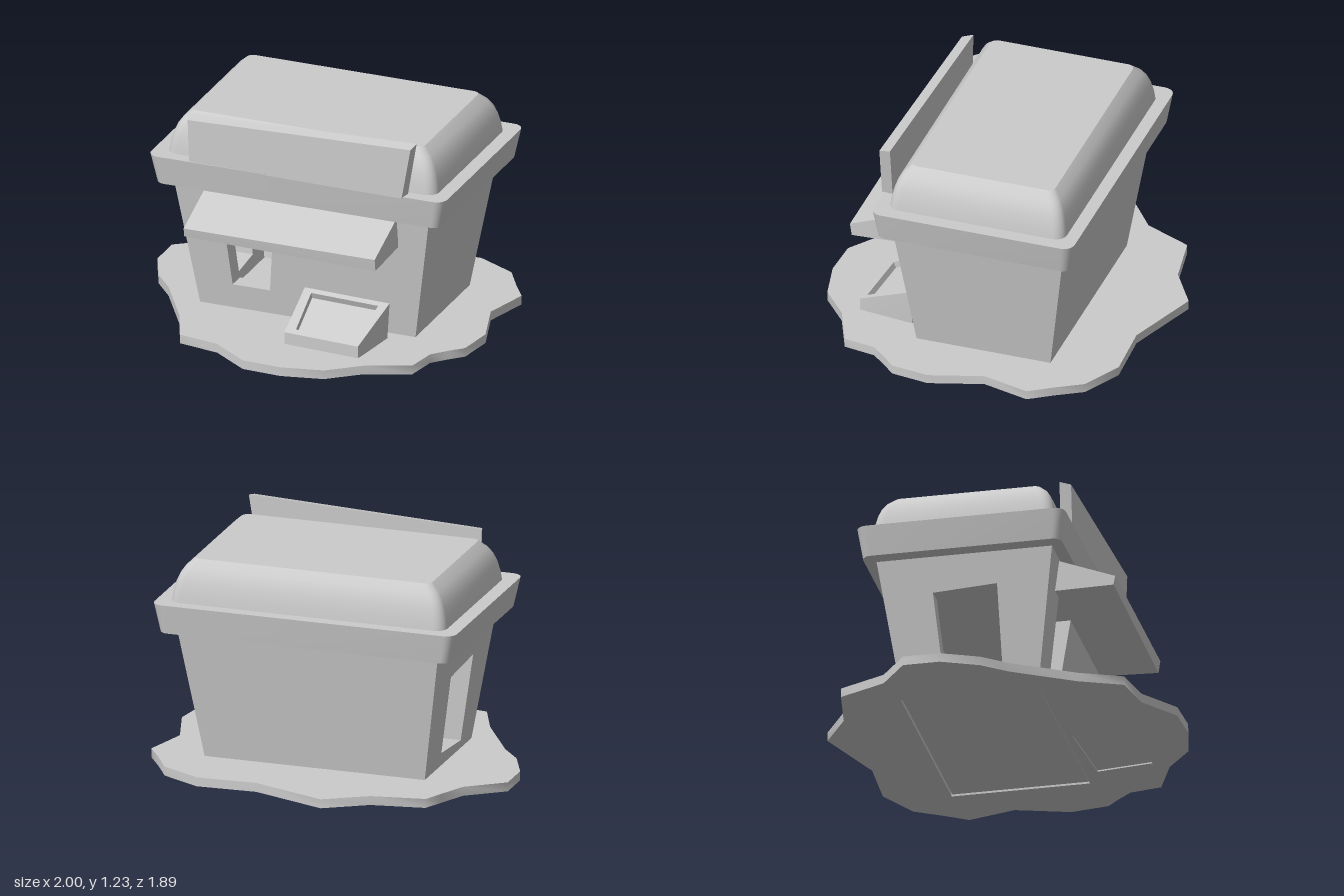
import * as THREE from 'three';
import { toCreasedNormals } from 'three/addons/utils/BufferGeometryUtils.js';

const material = new THREE.MeshStandardMaterial({ color: 0xcccccc });

// Closed solid through a list of loops, counter-clockwise about the direction of travel.
function loft(loops, crease = 0.5) {
  const pos = [];
  const tri = (a, b, c) => pos.push(...a, ...b, ...c);
  const n = loops[0].length;
  for (let k = 0; k < loops.length - 1; k++) {
    const a = loops[k], b = loops[k + 1];
    for (let i = 0; i < n; i++) {
      const j = (i + 1) % n;
      tri(a[i], a[j], b[j]);
      tri(a[i], b[j], b[i]);
    }
  }
  const first = loops[0], last = loops[loops.length - 1];
  for (let i = 1; i < n - 1; i++) {
    tri(first[0], first[i + 1], first[i]);
    tri(last[0], last[i], last[i + 1]);
  }
  const g = new THREE.BufferGeometry();
  g.setAttribute('position', new THREE.Float32BufferAttribute(pos, 3));
  return toCreasedNormals(g, crease);
}

// Horizontal rectangle loop, with optional rounded corners.
function rect(y, x0, x1, z0, z1, r = 0, steps = 0) {
  const pts = [];
  [[x1 - r, z1 - r], [x1 - r, z0 + r], [x0 + r, z0 + r], [x0 + r, z1 - r]].forEach(([cx, cz], k) => {
    for (let s = 0; s <= steps; s++) {
      const a = (k - 1 + (steps ? s / steps : 0)) * Math.PI / 2;
      pts.push([cx + r * Math.cos(a), y, cz - r * Math.sin(a)]);
    }
  });
  return pts;
}

// Leaning wall planes of the building, by height.
const left = (y) => -0.57 - 0.153 * (y - 0.05);
const right = (y) => 0.67 + 0.16 * (y - 0.05);
const front = (y) => 0.296 + 0.131 * (y - 0.05);
const back = (y) => -0.458 - 0.149 * (y - 0.05);
const Y0 = 0.008, Y1 = 0.8, DEPTH = 0.1;

const toPoints = (list) => list.map(([u, v]) => new THREE.Vector2(u, v));

// Thick upright wall with one opening, facing +z.
function wallWithOpening(outline, opening) {
  const shape = new THREE.Shape(toPoints(outline));
  shape.holes.push(new THREE.Path(toPoints(opening)));
  return new THREE.ExtrudeGeometry(shape, { depth: DEPTH, bevelEnabled: false }).translate(0, 0, -DEPTH);
}

// Tilt an upright wall by shifting each vertex according to its height.
function lean(g, axis, offset) {
  const p = g.attributes.position;
  for (let i = 0; i < p.count; i++) {
    p.setComponent(i, axis, p.getComponent(i, axis) + offset(p.getY(i)));
  }
  g.computeVertexNormals();
  return g;
}

export function createModel() {
  const group = new THREE.Group();
  const add = (name, geometry) => {
    const mesh = new THREE.Mesh(geometry, material);
    mesh.name = name;
    group.add(mesh);
  };

  // Irregular ground slab, cut out where the building and display box pass through
  const onGround = (list) => toPoints(list.map(([x, z]) => [x, -z]));
  const slab = new THREE.Shape(onGround([
    [-0.155, -0.95], [0.26, -0.8], [0.59, -0.815], [0.81, -0.7], [0.9, -0.55], [0.98, -0.43],
    [0.91, -0.17], [1, 0.12], [0.97, 0.33], [0.9, 0.4], [0.83, 0.48], [0.8, 0.655], [0.56, 0.755],
    [0.39, 0.895], [0.16, 0.945], [-0.06, 0.935], [-0.27, 0.785], [-0.5, 0.745], [-0.6, 0.51],
    [-0.8, 0.18], [-0.91, 0.05], [-1, -0.15], [-1, -0.35], [-0.8, -0.5], [-0.73, -0.65],
    [-0.68, -0.76], [-0.385, -0.81],
  ]));
  const footprint = [[0.495, 0.675], [0.535, 0.367], [0.075, 0.335], [0.06, 0.645]];
  const buildingHole = rect(0, left(0.05), right(0.05), back(0.05), front(0.05)).map(([x, , z]) => [x, z]);
  for (const hole of [buildingHole, footprint]) slab.holes.push(new THREE.Path(onGround(hole)));
  add('groundSlab', toCreasedNormals(
    new THREE.ExtrudeGeometry(slab, { depth: 0.05, bevelEnabled: false }).rotateX(-Math.PI / 2), 1.2));

  // Hollow building: two walls with openings, two plain walls and a floor
  add('frontWall', lean(wallWithOpening(
    [[left(Y0), Y0], [right(Y0), Y0], [right(Y1), Y1], [left(Y1), Y1]],
    [[-0.375, 0.19], [-0.16, 0.19], [-0.12, 0.59], [-0.41, 0.59]]), 2, front));

  add('sideWall', lean(wallWithOpening(
    [[back(Y0), Y0], [front(Y0) - DEPTH, Y0], [front(Y1) - DEPTH, Y1], [back(Y1), Y1]],
    [[-0.225, 0.13], [0.1, 0.1], [0.085, 0.595], [-0.265, 0.575]]).rotateY(-Math.PI / 2), 0, left));

  add('plainSideWall', loft([Y0, Y1].map((y) =>
    rect(y, right(y) - DEPTH, right(y), back(y), front(y) - DEPTH))));

  add('backWall', loft([Y0, Y1].map((y) =>
    rect(y, left(y) + DEPTH, right(y) - DEPTH, back(y), back(y) + DEPTH))));

  add('floor', loft([Y0, 0.06].map((y) =>
    rect(y, left(y) + DEPTH, right(y) - DEPTH, back(y) + DEPTH, front(y) - DEPTH))));

  // Flared eave band and domed roof
  add('eaveBand', loft([
    rect(0.772, -0.765, 0.872, -0.63, 0.455, 0.05, 5),
    rect(0.935, -0.8, 0.905, -0.655, 0.48, 0.06, 5),
  ]));
  const profile = [[0, 0.93], [0.008, 0.985], [0.022, 1.04], [0.04, 1.085], [0.065, 1.122], [0.11, 1.163]];
  add('roofDome', loft(profile.map(([inset, y]) => {
    const d = inset * 0.86;
    return rect(y, -0.722 + inset, 0.828 - inset, -0.585 + d, 0.407 - d, 0.06 - inset * 0.2, 6);
  })));

  // Sloping sign board above the eave, turned slightly
  add('signBoard', loft([
    [[-0.575, 0.93, 0.413], [0.68, 0.93, 0.427], [0.73, 1.232, 0.425], [-0.588, 1.185, 0.411]],
    [[-0.56, 0.93, 0.474], [0.67, 0.93, 0.49], [0.72, 1.218, 0.488], [-0.57, 1.172, 0.47]],
  ]));

  // Awning over the front window
  add('awning', loft([[-0.5, 0.595], [0.6, 0.577]].map(([x, low]) =>
    [[x, 0.59, 0.35], [x, 0.768, 0.375], [x, 0.645, 0.695], [x, low, 0.685]])));

  // Display box standing at a slight angle, with a sunken slanted tray
  add('displayBox', loft([
    footprint.map(([x, z]) => [x, Y0, z]),
    [[0.495, 0.117, 0.675], [0.55, 0.253, 0.367], [0.05, 0.253, 0.338], [0.06, 0.117, 0.645]],
    [[0.47, 0.131, 0.643], [0.495, 0.241, 0.394], [0.1, 0.241, 0.37], [0.115, 0.131, 0.617]],
    [[0.47, 0.1, 0.63], [0.495, 0.207, 0.381], [0.1, 0.207, 0.357], [0.115, 0.1, 0.604]],
  ], 0.1));

  return group;
}
